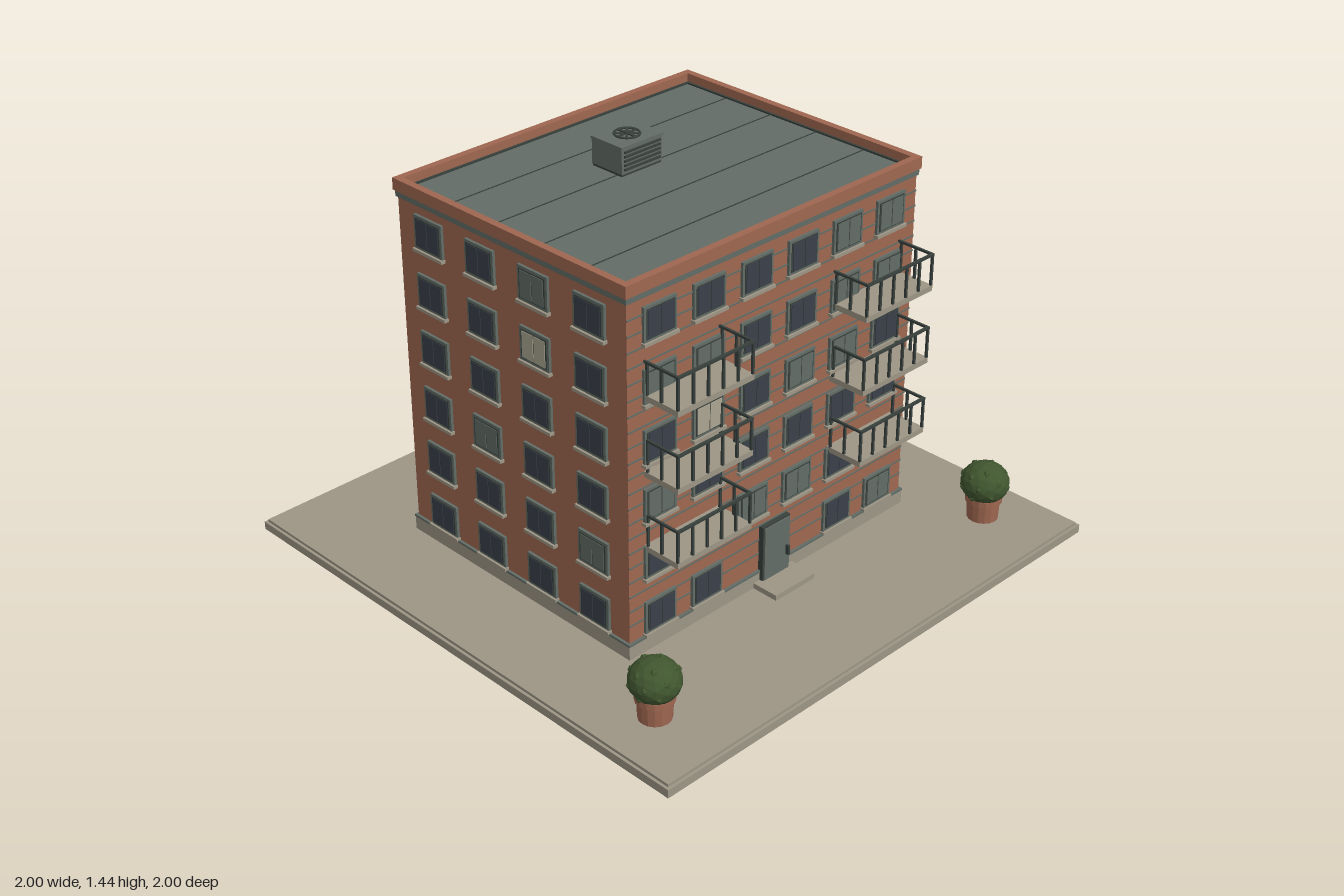
import * as THREE from 'three';

const mat = (name, color, flatShading = false) => {
  const m = new THREE.MeshStandardMaterial({ color, flatShading });
  m.name = name;
  return m;
};

export function createModel() {
  const brick = mat('brick', 0x9f6750);
  const concrete = mat('concrete', 0x9d9686);
  const trim = mat('greyGreenTrim', 0x626c65);
  const glass = mat('darkGlass', 0x3a3f4a);
  const metal = mat('darkMetal', 0x38413d);
  const blind = mat('paleBlind', 0xaaa491);
  const leaf = mat('foliage', 0x40562f, true);

  const model = new THREE.Group();
  model.name = 'apartmentBlock';

  const add = (parent, name, geo, material, x = 0, y = 0, z = 0) => {
    const m = new THREE.Mesh(geo, material);
    m.name = name;
    m.position.set(x, y, z);
    parent.add(m);
    return m;
  };
  // box given by its centre x/z and its bottom y
  const box = (parent, name, material, w, h, d, x, y, z) =>
    add(parent, name, new THREE.BoxGeometry(w, h, d), material, x, y + h / 2, z);
  const group = (parent, name, x = 0, y = 0, z = 0) => {
    const g = new THREE.Group();
    g.name = name;
    g.position.set(x, y, z);
    parent.add(g);
    return g;
  };

  const W = 1.3, D = 1.05, CZ = -0.053;

  // paved ground slab
  box(model, 'slab', concrete, 2, 0.03, 2, 0, 0, 0);
  box(model, 'paving', concrete, 1.98, 0.01, 1.98, 0, 0.03, 0);

  // main body
  box(model, 'walls', brick, W, 1.27, D, 0, 0.04, CZ);
  box(model, 'plinth', concrete, W + 0.016, 0.05, D + 0.016, 0, 0.04, CZ);
  box(model, 'plinthCap', trim, W + 0.02, 0.008, D + 0.02, 0, 0.09, CZ);
  box(model, 'cornice', trim, W + 0.012, 0.022, D + 0.012, 0, 1.298, CZ);

  // parapet ring
  const rect = (T, w, d) => {
    const s = new T();
    s.moveTo(-w / 2, -d / 2).lineTo(w / 2, -d / 2).lineTo(w / 2, d / 2).lineTo(-w / 2, d / 2).closePath();
    return s;
  };
  const ring = (name, material, w, d, t, h, y) => {
    const s = rect(THREE.Shape, w, d);
    s.holes.push(rect(THREE.Path, w - 2 * t, d - 2 * t));
    const g = new THREE.ExtrudeGeometry(s, { depth: h, bevelEnabled: false });
    g.rotateX(-Math.PI / 2);
    add(model, name, g, material, 0, y, CZ);
  };
  ring('parapet', brick, W + 0.022, D + 0.022, 0.026, 0.042, 1.32);
  ring('roofFlashing', metal, W - 0.03, D - 0.03, 0.008, 0.012, 1.32);

  // flat roof with seams
  box(model, 'roof', trim, W - 0.02, 0.01, D - 0.02, 0, 1.316, CZ);
  for (const k of [-1.5, -0.5, 0.5, 1.5]) {
    box(model, 'roofSeam', metal, W - 0.046, 0.002, 0.004, 0, 1.326, CZ + k * 0.21);
  }

  // rooftop ventilation unit
  const vent = group(model, 'rooftopUnit', 0, 1.326, -0.205);
  box(vent, 'unitBase', metal, 0.176, 0.01, 0.136, 0, 0, 0);
  box(vent, 'unitBody', trim, 0.18, 0.09, 0.14, 0, 0.008, 0);
  box(vent, 'unitLid', trim, 0.186, 0.008, 0.146, 0, 0.096, 0);
  for (let i = 0; i < 5; i++) box(vent, 'louvre', metal, 0.16, 0.007, 0.008, 0, 0.02 + i * 0.015, 0.072);
  const fan = add(vent, 'fanRing', new THREE.TorusGeometry(0.043, 0.004, 6, 24), metal, 0, 0.107, 0);
  fan.rotation.x = Math.PI / 2;
  add(vent, 'fanHub', new THREE.CylinderGeometry(0.011, 0.011, 0.01, 12), metal, 0, 0.109, 0);
  for (let i = 0; i < 4; i++) {
    box(vent, 'fanBlade', metal, 0.084, 0.004, 0.009, 0, 0.105, 0).rotation.y = i * Math.PI / 4;
  }

  // window: surround, sash, two panes and a sill; kind 0 glass, 1 drawn curtain, 2 pale blind
  const addWindow = (parent, x, y, kind) => {
    const g = group(parent, 'window', x, y, 0);
    box(g, 'surround', trim, 0.135, 0.118, 0.02, 0, -0.056, 0);
    box(g, 'sash', metal, 0.117, 0.1, 0.024, 0, -0.047, 0);
    for (const s of [-1, 1]) {
      box(g, 'pane', [glass, trim, blind][kind], 0.051, 0.092, 0.005, s * 0.0275, -0.043, 0.0115);
    }
    box(g, 'sill', concrete, 0.144, 0.011, 0.036, 0, -0.067, 0);
  };

  // balcony: floor slab, posts and top rail
  const addBalcony = (parent, x, y, w, d, n) => {
    const g = group(parent, 'balcony', x, y, 0);
    const t = 0.008, h = 0.115, e = w / 2 - t / 2;
    box(g, 'balconyFloor', concrete, w, 0.02, d, 0, 0, d / 2);
    for (let i = 0; i <= n; i++) box(g, 'post', metal, t, h, t, -e + 2 * e * i / n, 0.02, d - t / 2);
    box(g, 'frontRail', metal, w, t, t + 0.002, 0, 0.02 + h - t, d - t / 2);
    for (const s of [-1, 1]) {
      box(g, 'sideRail', metal, t, t, d, s * e, 0.02 + h - t, d / 2);
      for (const z of [0.012, d / 2]) box(g, 'sidePost', metal, t, h, t, s * e, 0.02, z);
    }
  };

  // each facade in local coordinates: x to the viewer's right, z outward
  // rows run from the top floor down; '-' leaves the wall blank
  const facades = [
    { name: 'frontFacade', pos: [0, 0, CZ + D / 2], turn: 0, step: 0.208, width: W,
      rows: ['000011', '110011', '020110', '100000', '001100', '00--01'],
      balconies: [-0.42, 0.42], bw: 0.325, bd: 0.146, posts: 5 },
    { name: 'leftFacade', pos: [W / 2, 0, CZ], turn: Math.PI / 2, step: 0.248, width: D,
      rows: ['0000', '0100', '0201', '1000', '0011', '0020'],
      balconies: [-0.29, 0.237], bw: 0.274, bd: 0.105, posts: 4 },
    { name: 'backFacade', pos: [0, 0, CZ - D / 2], turn: Math.PI, step: 0.208, width: W,
      rows: ['111010', '001100', '110020', '010101', '101000', '000200'] },
    { name: 'rightFacade', pos: [-W / 2, 0, CZ], turn: -Math.PI / 2, step: 0.248, width: D,
      rows: ['0010', '0020', '0000', '0100', '0001', '0000'] },
  ];
  for (const f of facades) {
    const g = group(model, f.name, ...f.pos);
    g.rotation.y = f.turn;
    f.rows.forEach((row, r) => [...row].forEach((c, i) => {
      if (c !== '-') addWindow(g, (i - (row.length - 1) / 2) * f.step, 1.205 - r * 0.2085, +c);
    }));
    if (!f.balconies) continue;
    // thin horizontal courses on the two balcony sides
    for (let y = 0.162; y < 1.29; y += 0.054) box(g, 'wallCourse', trim, f.width, 0.005, 0.006, 0, y - 0.0025, 0);
    for (const x of f.balconies) {
      for (let k = 0; k < 3; k++) addBalcony(g, x, 0.417 + k * 0.268, f.bw, f.bd, f.posts);
    }
  }

  // entrance door and step
  const door = group(model, 'entrance', 0, 0.04, CZ + D / 2);
  box(door, 'step', concrete, 0.186, 0.02, 0.11, 0, 0, 0.055);
  box(door, 'doorFrame', metal, 0.128, 0.208, 0.04, 0, 0.02, 0);
  box(door, 'doorLeaf', trim, 0.118, 0.2, 0.05, 0, 0.022, 0);
  box(door, 'handle', metal, 0.008, 0.035, 0.014, 0.042, 0.085, 0.034);

  // potted shrubs
  for (const s of [-1, 1]) {
    const p = group(model, 'planter', s * 0.795, 0.04, 0.735);
    const profile = [[0, 0], [0.055, 0], [0.058, 0.066], [0.065, 0.068], [0.065, 0.09], [0.055, 0.09], [0.052, 0.08], [0, 0.08]]
      .map(([x, y]) => new THREE.Vector2(x, y));
    const pot = new THREE.LatheGeometry(profile, 16).toNonIndexed();
    pot.computeVertexNormals();
    add(p, 'pot', pot, brick);
    const bush = add(p, 'shrub', new THREE.IcosahedronGeometry(0.086, 2), leaf, 0, 0.138, 0);
    bush.scale.y = 0.85;
    // small leaf clumps spread over the shrub
    for (let i = 0; i < 18; i++) {
      const y = 0.92 - i * 0.085, r = Math.sqrt(1 - y * y), a = i * 2.4;
      add(p, 'leafClump', new THREE.IcosahedronGeometry(0.014, 0), leaf,
        0.077 * r * Math.cos(a), 0.138 + 0.066 * y, 0.077 * r * Math.sin(a));
    }
  }
  return model;
}
